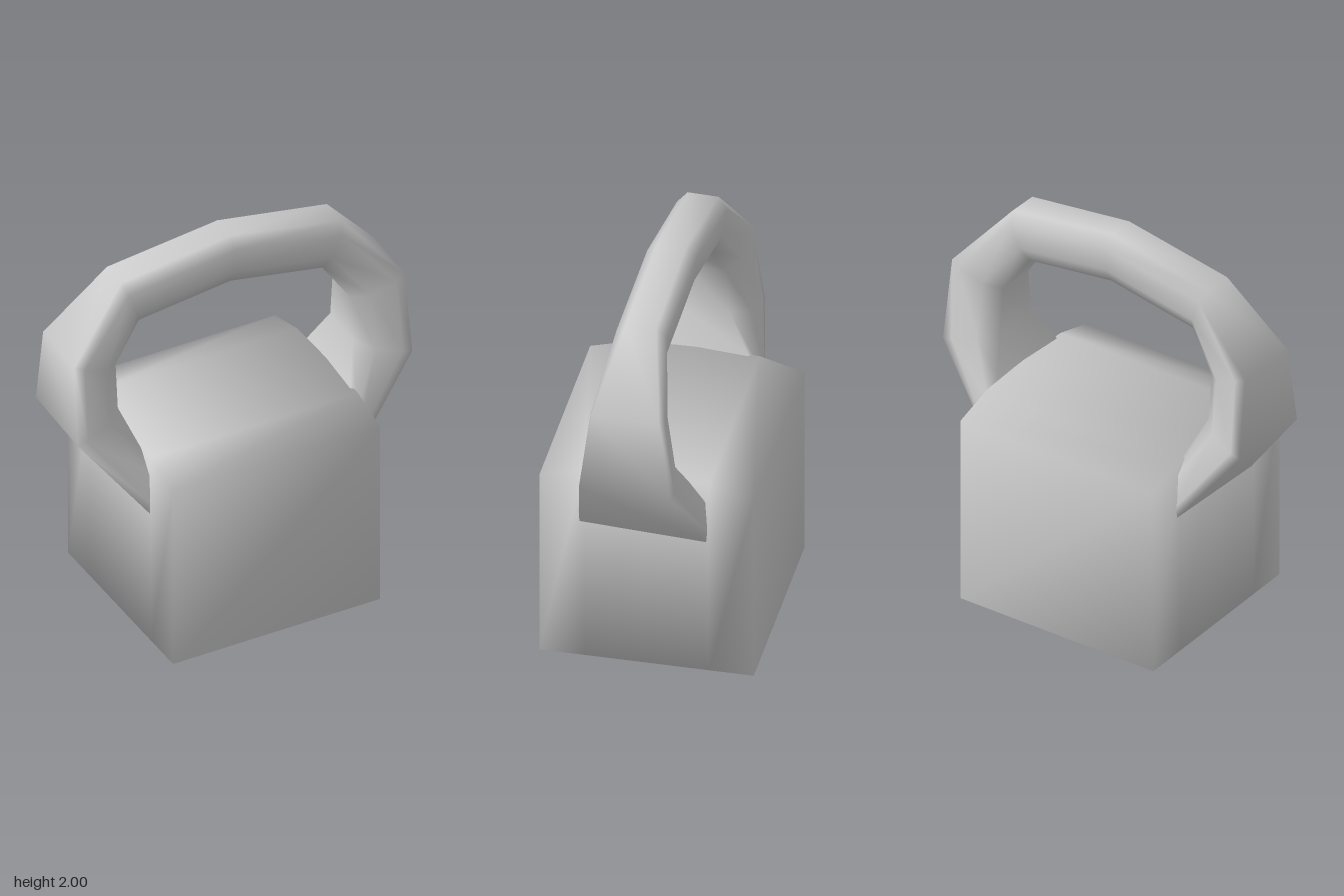
import * as THREE from 'three';
import { mergeVertices } from 'three/addons/utils/BufferGeometryUtils.js';

const grey = new THREE.MeshStandardMaterial({ color: 0xcccccc });

// Share corners so the shading runs smoothly over the low-poly shape
function smooth(geometry) {
  geometry.deleteAttribute('normal');
  geometry.deleteAttribute('uv');
  const merged = mergeVertices(geometry, 1e-4);
  merged.computeVertexNormals();
  return merged;
}

// Square weight with a top that rises gently to the middle
function createWeight() {
  const geometry = new THREE.BoxGeometry(1.105, 0.99, 1.03, 1, 1, 4);
  geometry.translate(0, 0.495, 0);
  const p = geometry.attributes.position;
  for (let i = 0; i < p.count; i++) {
    const z = Math.abs(p.getZ(i));
    if (z > 0.1 && z < 0.4) p.setZ(i, Math.sign(p.getZ(i)) * 0.3);
    if (p.getY(i) > 0.5 && z < 0.4) p.setY(i, z < 0.1 ? 1.06 : 1.05);
  }
  const mesh = new THREE.Mesh(smooth(geometry), grey);
  mesh.name = 'weight';
  return mesh;
}

// Arched grip: bevelled cross-sections from one root over the top to the other
function createHandle() {
  // outer x, outer y, inner x, inner y, half depths: outer, side, inner
  const half = [
    [0.50, 0.67, 0.50, 0.93, 0.32, 0.325, 0.31],
    [0.55, 0.735, 0.55, 1.06, 0.305, 0.31, 0.28],
    [0.875, 1.16, 0.615, 1.235, 0.222, 0.225, 0.15],
    [0.865, 1.57, 0.615, 1.47, 0.165, 0.18, 0.12],
    [0.575, 1.91, 0.48, 1.665, 0.075, 0.122, 0.085],
  ];
  const top = [0, 2, 0, 1.74, 0.07, 0.12, 0.085];
  const mirrored = half.map(([ox, oy, ix, iy, ...d]) => [-ox, oy, -ix, iy, ...d]).reverse();
  const sections = [...half, top, ...mirrored];

  const positions = [];
  const index = [];
  const sides = 8;
  sections.forEach(([ox, oy, ix, iy, outer, side, inner], i) => {
    const ring = [[1, -outer], [1, outer], [0.8, side], [0.3, (side * 2 + inner) / 3],
      [0, inner * 0.8], [0, -inner * 0.8], [0.3, -(side * 2 + inner) / 3], [0.8, -side]];
    ring.forEach(([u, z], j) => {
      positions.push(ix + (ox - ix) * u, iy + (oy - iy) * u, z);
      if (i === sections.length - 1) return;
      const a = i * sides + j;
      const b = i * sides + (j + 1) % sides;
      index.push(a, a + sides, b + sides, a, b + sides, b);
    });
  });
  const geometry = new THREE.BufferGeometry();
  geometry.setAttribute('position', new THREE.Float32BufferAttribute(positions, 3));
  geometry.setIndex(index);
  geometry.computeVertexNormals();
  const mesh = new THREE.Mesh(geometry, grey);
  mesh.name = 'handle';
  mesh.rotation.y = -0.04; // the grip sits slightly twisted on the weight
  return mesh;
}

export function createModel() {
  const model = new THREE.Group();
  model.name = 'kettlebell';
  model.add(createWeight(), createHandle());
  return model;
}
